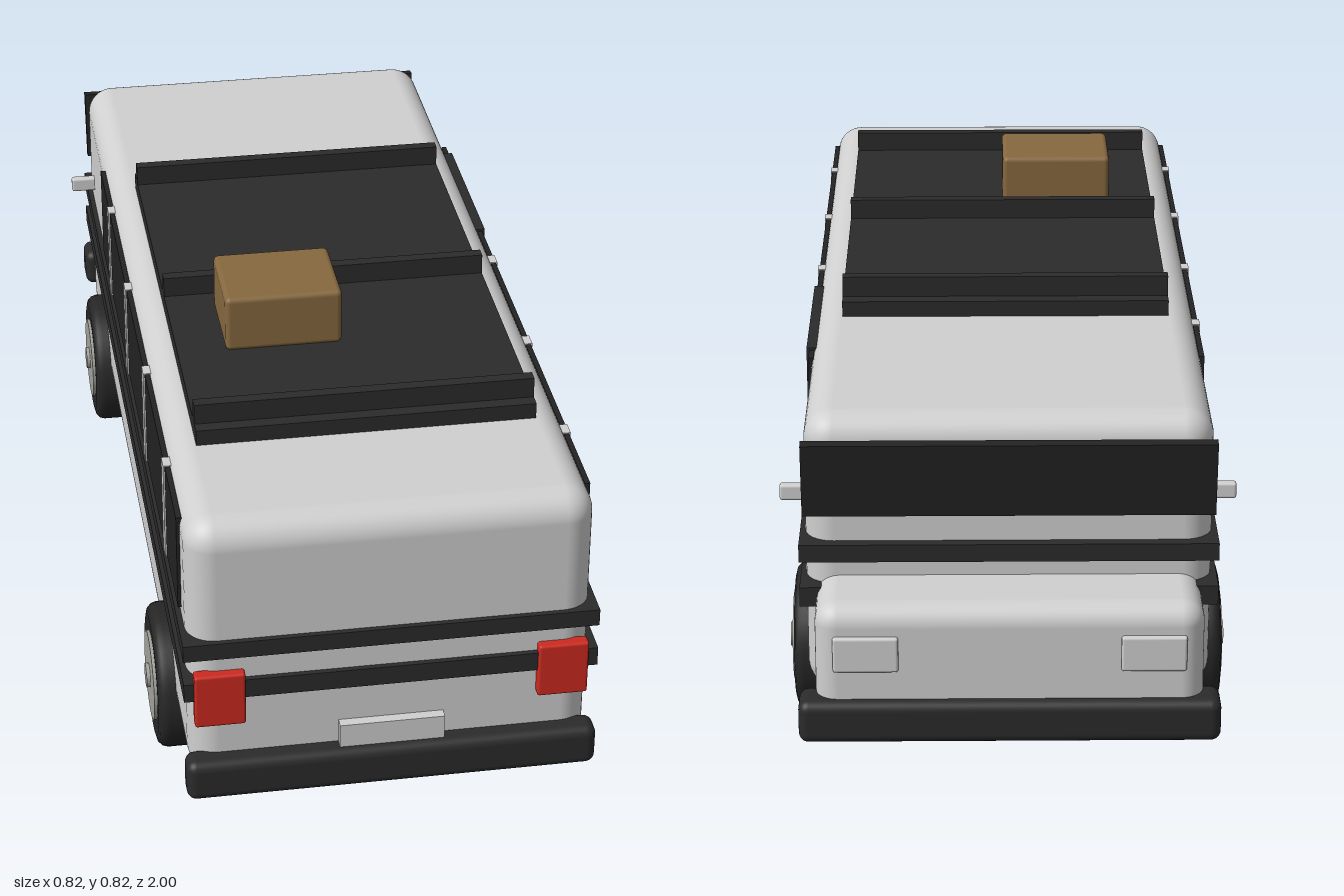
import * as THREE from 'three';
import { RoundedBoxGeometry } from 'three/addons/geometries/RoundedBoxGeometry.js';

const paint = (name, color) => {
  const m = new THREE.MeshStandardMaterial({ color });
  m.name = name;
  return m;
};

export function createModel() {
  const bus = new THREE.Group();
  bus.name = 'camperBus';

  const body = paint('bodyGrey', 0xd0d0d0);
  const trim = paint('darkTrim', 0x2b2b2b);
  const glass = paint('darkGlass', 0x232323);
  const rubber = paint('tyreRubber', 0x262626);
  const metal = paint('hubMetal', 0xa4a49e);
  const red = paint('lampRed', 0xcc2a20);
  const tan = paint('crateBrown', 0x86683f);

  // Box given by its extents on each axis, rounded when r > 0
  const box = (name, mat, [x0, x1], [y0, y1], [z0, z1], r = 0, seg = 4) => {
    const w = x1 - x0, h = y1 - y0, d = z1 - z0;
    const geo = r ? new RoundedBoxGeometry(w, h, d, seg, r) : new THREE.BoxGeometry(w, h, d);
    const mesh = new THREE.Mesh(geo, mat);
    mesh.name = name;
    mesh.position.set((x0 + x1) / 2, (y0 + y1) / 2, (z0 + z1) / 2);
    bus.add(mesh);
    return mesh;
  };
  // Extent on the x axis mirrored to the chosen side
  const side = (s, a, b) => (s > 0 ? [a, b] : [-b, -a]);

  // Shell and hood
  box('shell', body, [-0.362, 0.362], [0.14, 0.68], [-0.84, 0.963], 0.052, 6);
  box('hood', body, [-0.342, 0.342], [0.165, 0.38], [-0.98, -0.7], 0.04, 5);

  // Belt stripes wrapping the shell
  box('upperStripe', trim, [-0.372, 0.372], [0.414, 0.447], [-0.86, 0.973]);
  box('lowerStripe', trim, [-0.372, 0.372], [0.328, 0.365], [-0.86, 0.973]);

  // Bumpers and plate
  box('frontBumper', trim, [-0.372, 0.372], [0.125, 0.205], [0.943, 1.0], 0.018);
  box('backBumper', trim, [-0.372, 0.372], [0.125, 0.205], [-1.0, -0.922], 0.018);
  box('plate', body, [-0.095, 0.095], [0.195, 0.252], [0.96, 0.982]);

  // Tilted windscreen
  const screen = box('windscreen', glass, [-0.365, 0.365], [0.5, 0.642], [-0.862, -0.842]);
  screen.rotation.x = -0.13;

  for (const s of [1, -1]) {
    // Side glazing with pillars
    box('sideWindows', glass, side(s, 0.358, 0.368), [0.462, 0.65], [-0.465, 0.872]);
    for (const z of [-0.285, 0.04, 0.365, 0.69]) {
      box('windowPillar', body, side(s, 0.355, 0.371), [0.46, 0.652], [z - 0.015, z + 0.015]);
    }
    // Lamps and mirrors
    box('redLamp', red, side(s, 0.263, 0.354), [0.275, 0.383], [0.955, 0.981], 0.005, 2);
    box('headlamp', body, side(s, 0.195, 0.31), [0.26, 0.326], [-0.989, -0.965], 0.005, 2);
    box('mirror', body, side(s, 0.35, 0.411), [0.477, 0.507], [-0.731, -0.713], 0.005, 2);
  }

  // Side door, on one side only
  box('door', trim, [0.35, 0.373], [0.26, 0.655], [-0.425, -0.08]);

  // Roof rack with cross bars and a crate
  box('rackPanel', trim, [-0.309, 0.309], [0.678, 0.71], [-0.325, 0.69]);
  for (const z of [-0.285, 0.185, 0.655]) {
    box('rackBar', trim, [-0.309, 0.309], [0.705, 0.749], [z - 0.011, z + 0.011]);
  }
  box('crate', tan, [-0.219, -0.001], [0.708, 0.818], [0.239, 0.418], 0.01, 3);

  // Wheels: lathed about y, then laid on their side
  const v = (x, y) => new THREE.Vector2(x, y);
  const tyreGeo = new THREE.LatheGeometry([
    v(0.08, -0.048), v(0.115, -0.05), v(0.127, -0.047), v(0.134, -0.04), v(0.137, -0.03),
    v(0.137, 0.03), v(0.134, 0.04), v(0.127, 0.047), v(0.115, 0.05), v(0.08, 0.048),
  ], 40);
  const rimGeo = new THREE.CylinderGeometry(0.085, 0.085, 0.108, 32);
  const capGeo = new THREE.CylinderGeometry(0.023, 0.026, 0.122, 20);
  for (const s of [1, -1]) {
    for (const z of [0.62, -0.575]) {
      const wheel = new THREE.Group();
      wheel.name = 'wheel';
      for (const [name, geo, mat] of [['tyre', tyreGeo, rubber], ['rim', rimGeo, metal], ['hubCap', capGeo, metal]]) {
        const part = new THREE.Mesh(geo, mat);
        part.name = name;
        wheel.add(part);
      }
      wheel.rotation.z = -s * Math.PI / 2;
      wheel.position.set(s * 0.345, 0.137, z);
      bus.add(wheel);
    }
  }
  return bus;
}
